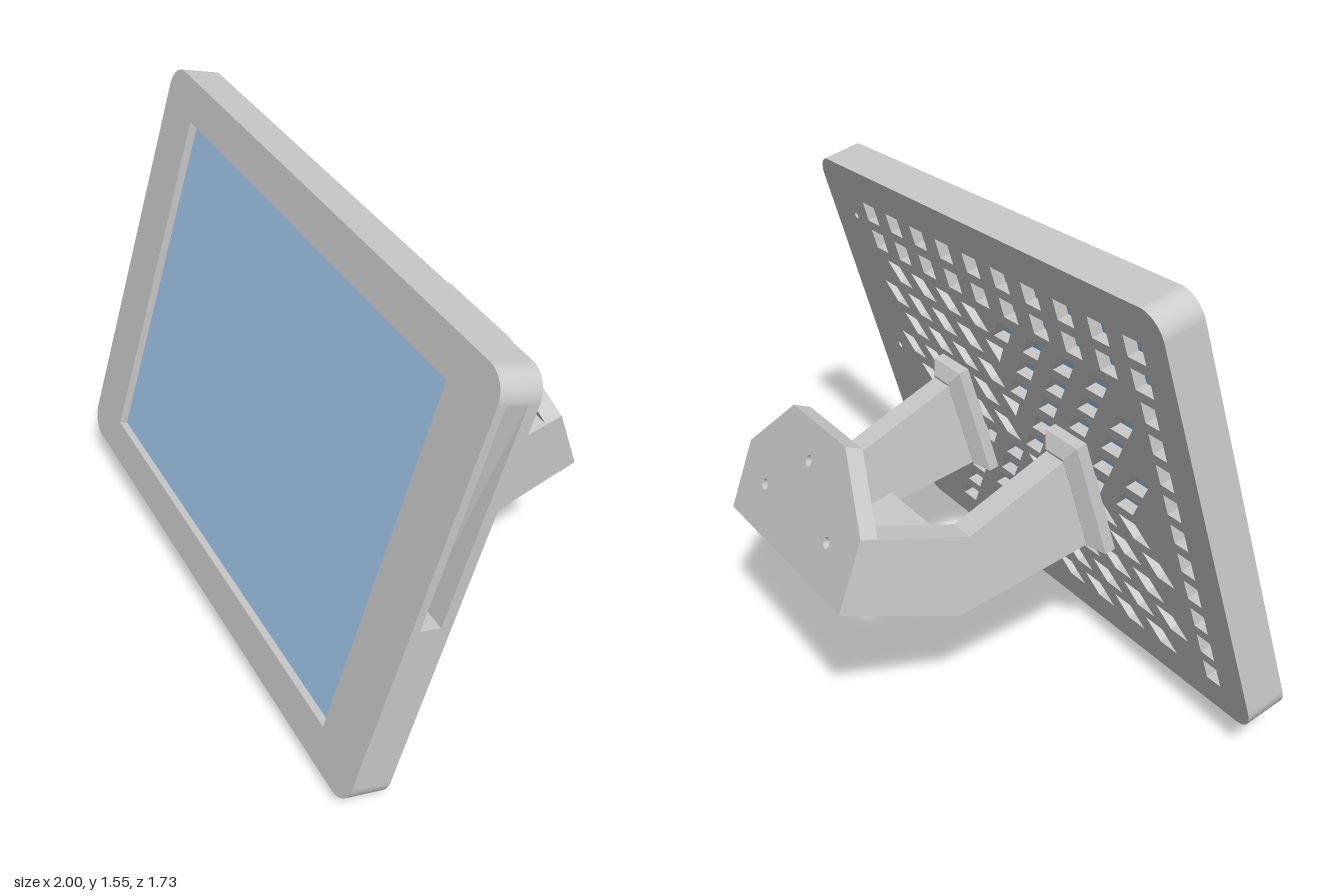
import * as THREE from 'three';

const W = 2.02, H = 1.47, T = 0.135, R = 0.08;   // case size and corner radius
const HW = W / 2, HH = H / 2;
const grey = new THREE.MeshStandardMaterial({ color: 0xcccccc });
const blue = new THREE.MeshStandardMaterial({ color: 0xa1c7ea });

function add(parent, name, geometry, material = grey) {
  const mesh = new THREE.Mesh(geometry, material);
  mesh.name = name;
  parent.add(mesh);
  return mesh;
}

function polygon(points, Type = THREE.Shape) {
  return new Type(points.map(([x, y]) => new THREE.Vector2(x, y)));
}

function circle(x, y, r) {
  const p = new THREE.Path();
  p.absarc(x, y, r, 0, Math.PI * 2);
  return p;
}

// Rounded outline of the case, starting and ending on the right edge at +-gap
function outline(gap = 0) {
  const s = new THREE.Shape();
  s.moveTo(HW, gap);
  s.absarc(HW - R, HH - R, R, 0, Math.PI / 2);
  s.absarc(-HW + R, HH - R, R, Math.PI / 2, Math.PI);
  s.absarc(-HW + R, -HH + R, R, Math.PI, Math.PI * 1.5);
  s.absarc(HW - R, -HH + R, R, Math.PI * 1.5, Math.PI * 2);
  s.lineTo(HW, -gap);
  return s;
}

// Extrude a shape between two depths
function slab(shape, z0, z1) {
  const g = new THREE.ExtrudeGeometry(shape, { depth: z1 - z0, bevelEnabled: false, curveSegments: 10 });
  return g.translate(0, 0, z0);
}

// Extrude a side profile of [height, depth] points between two x positions
function sideSlab(profile, x0, x1) {
  return slab(polygon(profile.map(([v, n]) => [-n, v])), x0, x1).rotateY(Math.PI / 2);
}

// Ventilation holes: two square rows on top, then a mirrored pattern fanning out from the centre
function ventHoles() {
  const holes = [], pitch = 0.172, rowPitch = 0.106, v0 = -0.109, h = 0.035;
  const hole = (pts) => holes.push(polygon(pts, THREE.Path));
  const rect = (u, v, w) => hole([[u - w, v - h], [u + w, v - h], [u + w, v + h], [u - w, v + h]]);
  for (let j = 0; j < 12; j++) {
    const v = 0.58 - rowPitch * j;
    rect(-0.855, v, j < 2 ? 0.042 : 0.032);
    if (j < 2) {
      for (let i = -4; i <= 4; i++) rect(i * pitch, v, 0.042);
      continue;
    }
    const out = Math.sign(v - v0);
    const k = Math.floor(Math.abs(v - v0) / rowPitch);
    const offset = k % 2 ? 0 : pitch / 2;
    if (!offset) hole([[0, v - out * h], [0.055, v + out * h], [-0.055, v + out * h]]);
    for (const side of [-1, 1]) {
      for (let u = offset || pitch; u < 0.73; u += pitch) {
        const corner = (w, d) => [side * (u + w + 0.8 * d), v + out * d];
        hole([corner(-0.043, -h), corner(0.043, -h), corner(0.043, h), corner(-0.043, h)]);
      }
    }
  }
  return holes;
}

function createCase() {
  const g = new THREE.Group();
  g.name = 'tabletCase';
  const zBack = -0.03, zFront = 0.04;

  // Front bezel with the screen opening
  const bezel = outline();
  bezel.holes.push(polygon([[-0.81, -0.603], [0.805, -0.603], [0.805, 0.603], [-0.81, 0.603]], THREE.Path));
  add(g, 'frontBezel', slab(bezel, zFront, T / 2));

  // Side wall, open at the charging port
  const iw = 0.93, ih = 0.66, port = 0.065;
  const wall = outline(port);
  [[iw, -port], [iw, -ih], [-iw, -ih], [-iw, ih], [iw, ih], [iw, port]].forEach(([x, y]) => wall.lineTo(x, y));
  add(g, 'sideWall', slab(wall, zBack, zFront));

  // Perforated back with screw holes along the end cap
  const back = outline();
  back.holes.push(...ventHoles());
  for (const v of [0.54, 0, -0.55]) back.holes.push(circle(0.83, v, 0.012));
  add(g, 'perforatedBack', slab(back, -T / 2, zBack));

  // Tablet held inside
  const tablet = add(g, 'tablet', new THREE.BoxGeometry(iw * 2, ih * 2, zFront - zBack - 0.002), blue);
  tablet.position.z = (zFront + zBack) / 2;
  return g;
}

function createMount() {
  const g = new THREE.Group();
  g.name = 'wallMount';
  const outer = 0.405, inner = 0.31;
  const legProfile = [[-0.272, -0.09], [-0.247, -0.618], [-0.012, -0.957], [0.177, -0.817], [-0.009, -0.502], [0.062, -0.09]];

  for (const side of [-1, 1]) {
    const name = side > 0 ? 'left' : 'right';
    const x = [side * inner, side * outer].sort((a, b) => a - b);
    add(g, name + 'Leg', sideSlab(legProfile, x[0], x[1]));

    // Flared foot against the back of the case
    const cx = side * (inner + outer) / 2, cy = -0.107;
    add(g, name + 'FootPad', new THREE.BoxGeometry(0.175, 0.41, 0.04)).position.set(cx, cy, -0.084);
    const flare = new THREE.BoxGeometry(0.175, 0.41, 0.036);
    const p = flare.attributes.position;
    for (let i = 0; i < p.count; i++) {
      if (p.getZ(i) < 0) p.setXY(i, p.getX(i) * 0.55, p.getY(i) * 0.82);
    }
    flare.computeVertexNormals();
    add(g, name + 'FootFlare', flare).position.set(cx, cy, -0.122);
  }

  // Lower cross brace between the legs
  const brace = [[-0.247, -0.46], [-0.247, -0.618], [-0.2, -0.687], [-0.168, -0.662], [-0.212, -0.598], [-0.212, -0.46]];
  add(g, 'crossBrace', sideSlab(brace, -inner, inner));

  // Tilted mounting plate with chamfered top corners and three screw holes
  const plate = polygon([[-outer, 0], [outer, 0], [outer, 0.236], [0.185, 0.437], [-0.185, 0.437], [-outer, 0.236]]);
  plate.holes.push(circle(0.23, 0.15, 0.018), circle(-0.23, 0.15, 0.018), circle(0, 0.32, 0.018));
  const mesh = add(g, 'mountingPlate', slab(plate, 0, 0.058));
  mesh.position.set(0, -0.012, -0.958);
  mesh.rotation.x = Math.atan2(0.593, 0.805);
  return g;
}

export function createModel() {
  const model = new THREE.Group();
  model.name = 'tabletWallMount';
  const body = new THREE.Group();
  body.name = 'tiltedAssembly';
  body.add(createCase(), createMount());

  // Turn and lean the whole assembly
  const up = new THREE.Vector3(0.184, 0.966, -0.184).normalize();
  const front = new THREE.Vector3(0.833, -0.055, 0.55).cross(up).normalize();
  const right = up.clone().cross(front);
  body.quaternion.setFromRotationMatrix(new THREE.Matrix4().makeBasis(right, up, front));
  body.position.set(0, 0.778, 0.135);
  model.add(body);
  return model;
}
